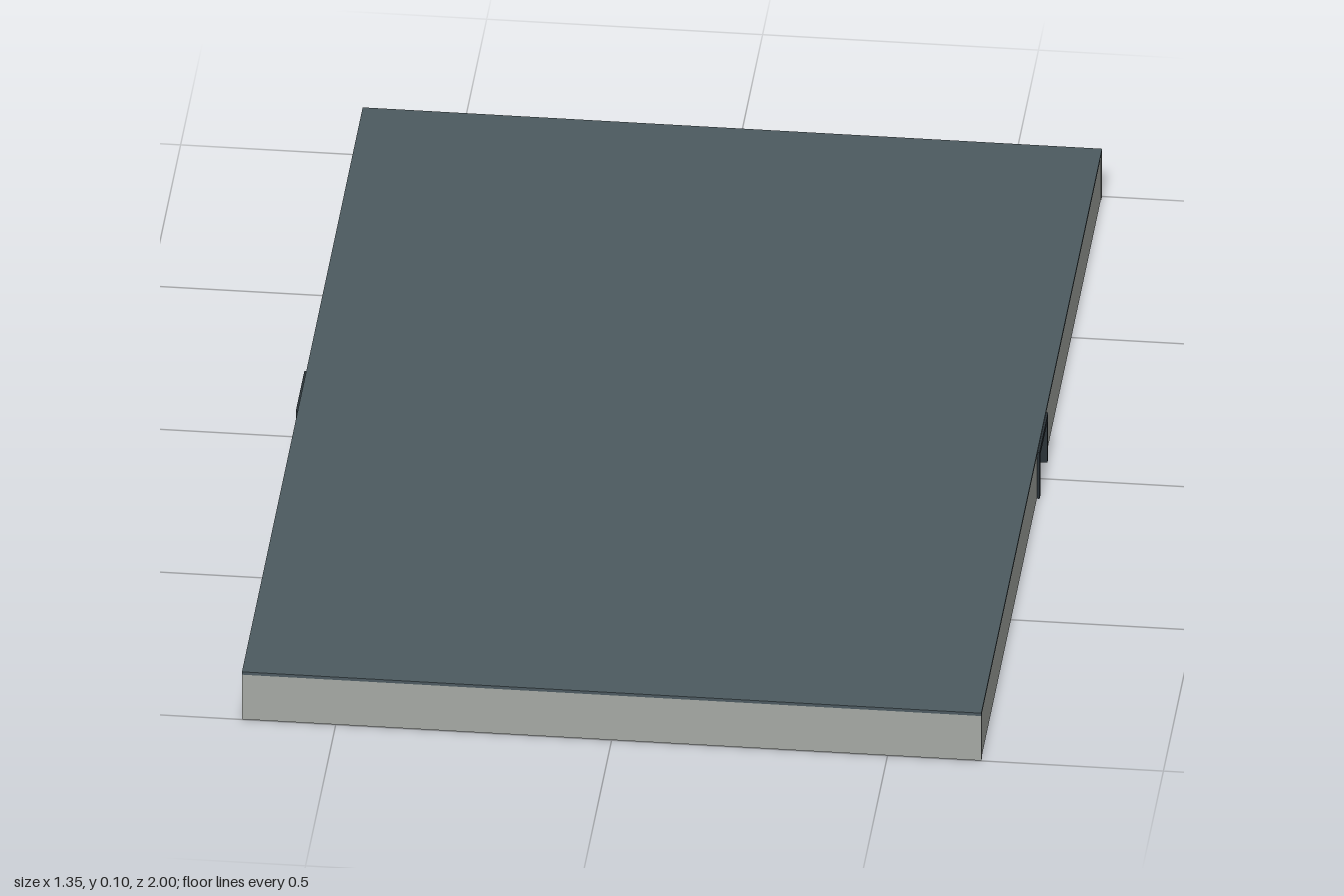
import * as THREE from 'three';

export function createModel() {
  const model = new THREE.Group();
  const mat = (name, color) => {
    const m = new THREE.MeshStandardMaterial({ color });
    m.name = name;
    return m;
  };
  const slate = mat('slate', 0x4c5a60);
  const pale = mat('paleGrey', 0xa5a9a4);
  const dark = mat('charcoal', 0x2a3237);

  // Box given by its extents
  const box = (name, material, x0, x1, y0, y1, z0, z1, parent = model) => {
    const mesh = new THREE.Mesh(new THREE.BoxGeometry(x1 - x0, y1 - y0, z1 - z0), material);
    mesh.position.set((x0 + x1) / 2, (y0 + y1) / 2, (z0 + z1) / 2);
    mesh.name = name;
    parent.add(mesh);
    return mesh;
  };
  const T = 0.006; // half thickness of inner walls
  const TOP = 0.094; // underside of the roof
  const wallX = (name, m, z, x0, x1) => box(name, m, x0, x1, 0, TOP, z - T, z + T);
  const wallZ = (name, m, x, z0, z1) => box(name, m, x - T, x + T, 0, TOP, z0, z1);

  // Roof
  box('roof', slate, -0.67, 0.67, TOP, 0.1, -1, 1);

  // Outer walls, with a doorway through each long side
  for (const s of [-1, 1]) {
    box('endWall', pale, -0.67, 0.67, 0, TOP, s * 0.993 - 0.006, s * 0.993 + 0.006);
    for (const d of [-1, 1]) {
      const z = [d * 0.065, d * 0.987].sort((a, b) => a - b);
      box('sideWall', pale, s * 0.663 - 0.006, s * 0.663 + 0.006, 0, TOP, z[0], z[1]);
      box('doorPost', dark, s * 0.65 - 0.024, s * 0.65 + 0.024, 0, 0.097, d * 0.064 - 0.007, d * 0.064 + 0.007);
    }
    box('doorLintel', dark, s * 0.65 - 0.024, s * 0.65 + 0.024, 0.085, 0.097, -0.064, 0.064);
  }

  // Walls of the rear rooms
  wallX('rearRoomWall', pale, -0.78, 0.13, 0.54);
  wallX('rearRoomWall', pale, -0.78, -0.56, 0.05);
  wallZ('rearRoomSideWall', pale, -0.56, -0.78, -0.55);
  wallZ('rearPartition', slate, 0.06, -0.78, -0.29);

  // Walls of the front room
  wallZ('frontRoomSideWall', pale, 0.54, 0.09, 0.84);
  wallX('frontRoomWall', pale, 0.84, -0.55, 0.54);
  wallZ('frontRoomSideWall', pale, -0.55, 0.6, 0.84);
  wallZ('frontRoomSidePanel', slate, -0.54, 0.28, 0.6);
  wallZ('bayPartition', slate, 0.2, 0.27, 0.56);
  wallZ('bayPartition', slate, -0.16, 0.27, 0.56);

  // Corridor wall with two framed doors
  wallX('corridorWall', slate, 0.09, 0.31, 0.54);
  wallX('corridorWall', slate, 0.09, -0.36, 0.23);
  wallX('corridorWall', slate, 0.09, -0.54, -0.44);
  for (const x of [0.27, -0.4]) {
    for (const s of [-1, 1]) box('innerDoorPost', dark, x + s * 0.036 - 0.006, x + s * 0.036 + 0.006, 0, TOP, 0.07, 0.11);
    box('innerDoor', dark, x - 0.03, x + 0.03, 0, 0.085, 0.085, 0.095);
  }

  // Eight-sided rail around the rear console
  const octagon = (r) => Array.from({ length: 8 }, (_, i) => {
    const a = (i + 0.5) * Math.PI / 4;
    return new THREE.Vector2(r * Math.cos(a), r * Math.sin(a));
  });
  const ringShape = new THREE.Shape(octagon(0.28));
  ringShape.holes.push(new THREE.Path(octagon(0.262).reverse()));
  const rail = new THREE.Mesh(new THREE.ExtrudeGeometry(ringShape, { depth: 0.05, bevelEnabled: false }), slate);
  rail.name = 'octagonRail';
  rail.rotation.x = -Math.PI / 2;
  rail.position.set(-0.31, 0.002, -0.42);
  model.add(rail);

  // Table with stools
  const table = (x, z, w, d) => {
    const g = new THREE.Group();
    g.name = 'tableGroup';
    g.position.set(x, 0, z);
    box('table', pale, -w / 2, w / 2, 0.01, 0.035, -d / 2, d / 2, g);
    for (const sx of [-1, 1]) for (const sz of [-1, 1]) {
      const stool = new THREE.Mesh(new THREE.CylinderGeometry(0.012, 0.012, 0.025, 8), dark);
      stool.name = 'stool';
      stool.position.set(sx * w * 0.35, 0.02, sz * (d / 2 + 0.025));
      g.add(stool);
    }
    model.add(g);
  };
  table(-0.31, -0.42, 0.11, 0.08);
  table(0.35, -0.48, 0.14, 0.09);
  for (const x of [0.36, 0.02, -0.35]) table(x, 0.43, 0.035, 0.035);

  // Rows of seats
  for (let r = 0; r < 4; r++) for (let c = 0; c < 11; c++) {
    const x = -0.16 + c * 0.04, z = 0.55 + r * 0.035;
    box('seat', r % 2 ? slate : pale, x - 0.01, x + 0.01, 0.01, 0.03, z - 0.009, z + 0.009);
  }

  // Long cabinets and small benches
  box('cabinet', dark, 0.18, 0.49, 0, 0.04, 0.76, 0.79);
  box('cabinet', dark, -0.5, -0.04, 0, 0.04, 0.76, 0.79);
  for (const [x, z] of [[0.5, -0.26], [0.17, -0.14], [0.4, 0.2], [-0.02, 0.2], [-0.2, -0.08]])
    box('bench', slate, x - 0.012, x + 0.012, 0, 0.03, z - 0.045, z + 0.045);

  return model;
}
